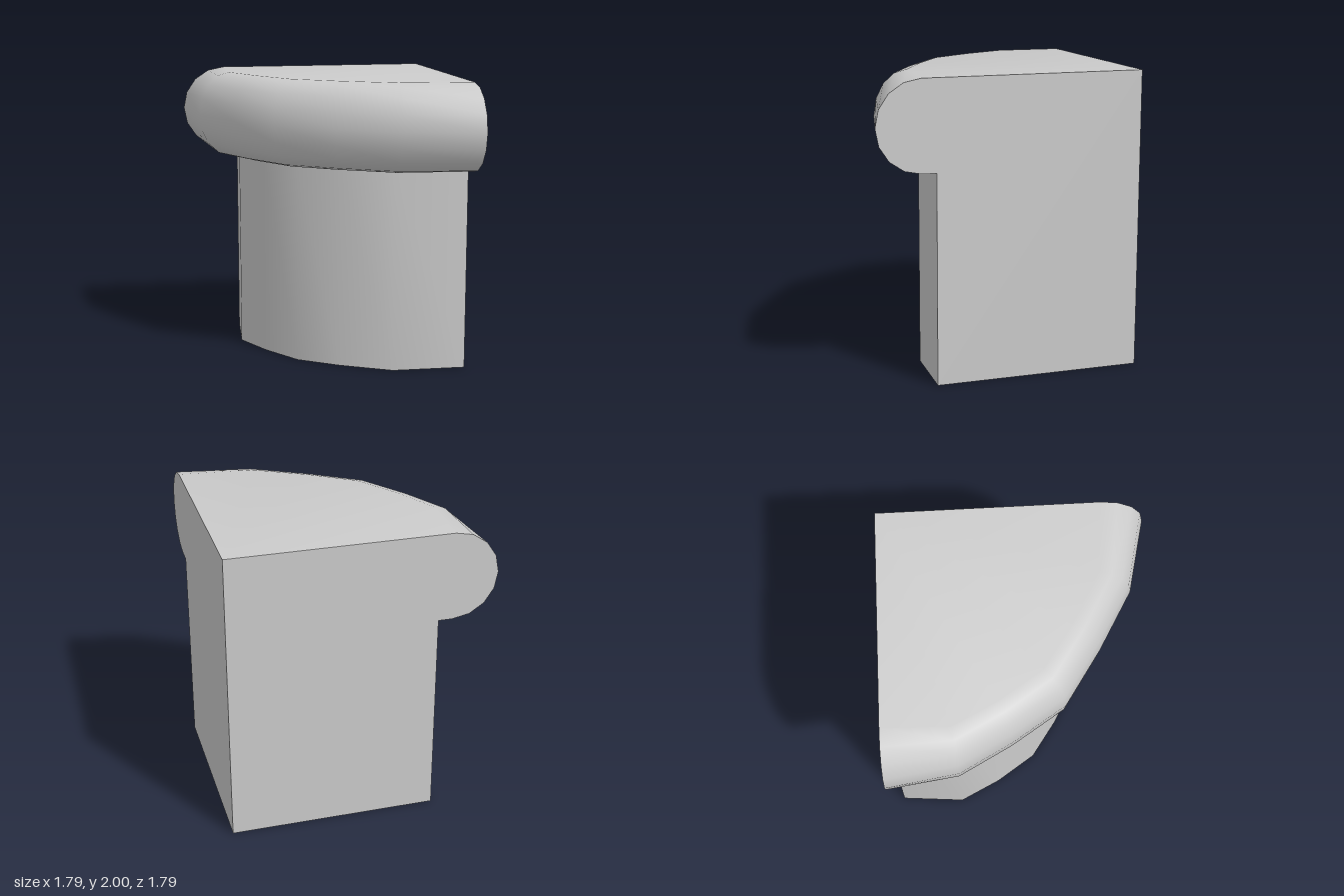
import * as THREE from 'three';
import { toCreasedNormals } from 'three/addons/utils/BufferGeometryUtils.js';

const CORNER = 0.895; // the square inner corner sits at x = CORNER, z = -CORNER

// Stations round the curve: [outer u, outer v, wall u, wall v],
// u runs from the corner towards -x, v towards +z
const STATIONS = [
  [1.79, 0, 1.395, 0],
  [1.72, 0.475, 1.435, 0.44],
  [1.53, 0.83, 1.295, 0.725],
  [1.30, 1.185, 1.11, 1.0],
  [0.925, 1.435, 0.845, 1.185],
  [0.525, 1.665, 0.505, 1.37],
  [0, 1.79, 0, 1.395],
];

// Section at one station as [u, v, y]: top, half-round nose, ledge, wall, base
function section([ou, ov, wu, wv]) {
  const pts = [[0, 0, 2]];
  for (let i = 0; i <= 8; i++) {
    const a = (i / 8) * Math.PI;
    const t = 0.76 * (1 - Math.sin(a));
    pts.push([ou + (wu - ou) * t, ov + (wv - ov) * t, 1.7 + 0.3 * Math.cos(a)]);
  }
  pts.push([wu, wv, 1.4], [wu, wv, 0], [0, 0, 0]);
  return pts;
}

// Skin lofted through the sections
function curvedSkin(sections) {
  const pos = [];
  const push = (...pts) => pts.forEach(([u, v, y]) => pos.push(CORNER - u, y, v - CORNER));
  const last = sections[0].length - 2;
  for (let s = 0; s < sections.length - 1; s++) {
    for (let j = 0; j <= last; j++) {
      const a = sections[s][j], b = sections[s][j + 1];
      const c = sections[s + 1][j + 1], d = sections[s + 1][j];
      if (j < last) push(a, b, c);
      else push(a, b, d);
      if (j > 0 && j < last) push(a, c, d);
    }
  }
  const geo = new THREE.BufferGeometry();
  geo.setAttribute('position', new THREE.Float32BufferAttribute(pos, 3));
  return toCreasedNormals(geo, 0.75);
}

// Flat cut face from a section outline
function cutFace(points, angle) {
  const shape = new THREE.Shape(points.map(([x, y]) => new THREE.Vector2(x, y)));
  return new THREE.ShapeGeometry(shape).rotateY(angle).translate(CORNER, 0, -CORNER);
}

export function createModel() {
  const group = new THREE.Group();
  group.name = 'roundedCornerStep';
  const material = new THREE.MeshStandardMaterial({ color: 0xcccccc });
  const add = (name, geo) => {
    const mesh = new THREE.Mesh(geo, material);
    mesh.name = name;
    group.add(mesh);
  };

  const sections = STATIONS.map(section);
  add('treadAndRiser', curvedSkin(sections));
  add('backFace', cutFace(sections[0].map(([u, , y]) => [u, y]), Math.PI));
  add('sideFace', cutFace(sections[sections.length - 1].map(([, v, y]) => [-v, y]), Math.PI / 2));
  return group;
}
